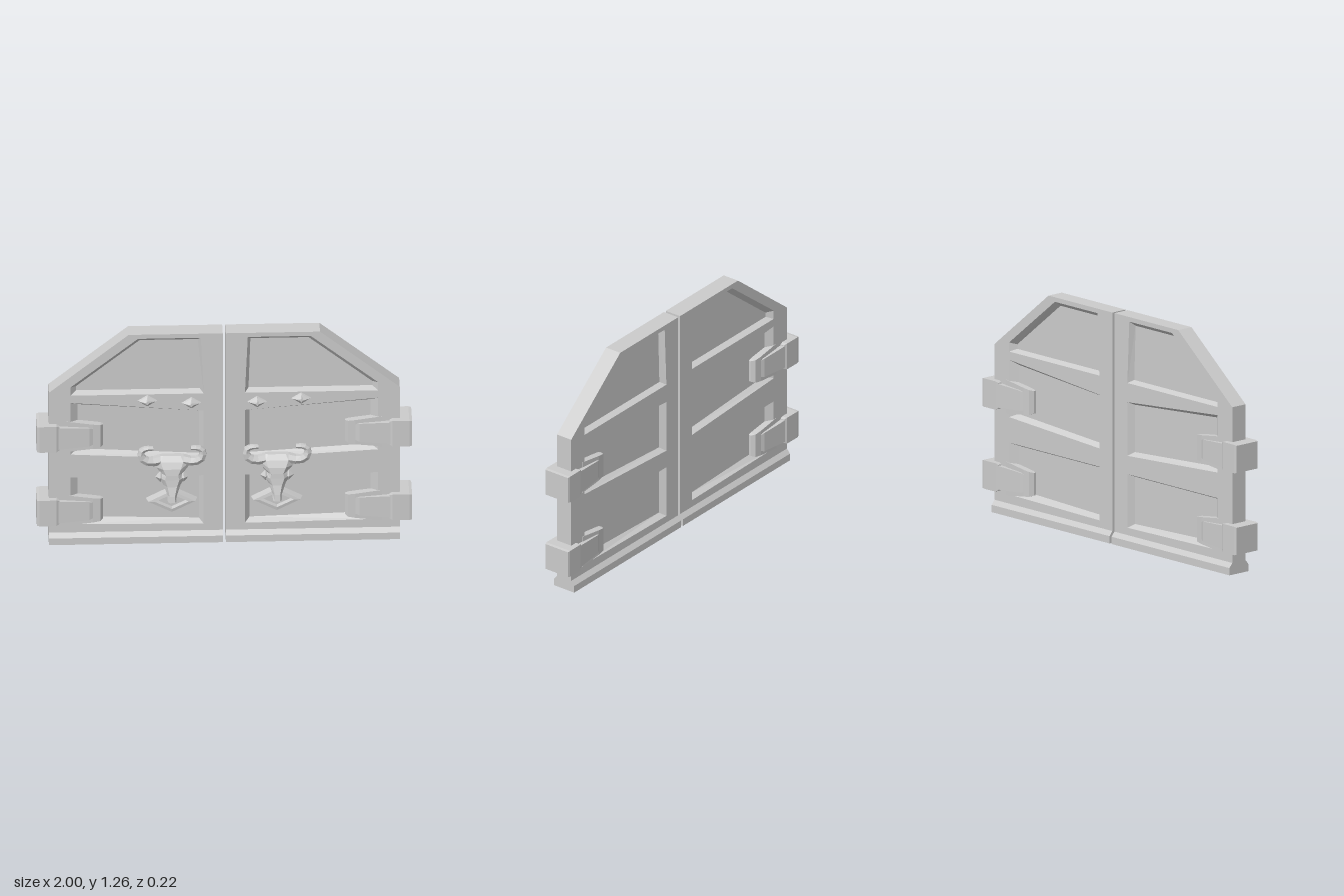
import * as THREE from 'three';

const V = (x, y, z) => new THREE.Vector3(x, y, z);
const MID = -0.035; // z of the door's middle plane
const HALF = 0.048; // half the door's thickness
const SKULL_X = 0.28;

// Skin between rings of equal length; rings run counter-clockwise about the travel direction
function loft(rings, capStart = true, capEnd = true) {
  const pos = [];
  const tri = (...pts) => pts.forEach((p) => pos.push(p.x, p.y, p.z));
  const n = rings[0].length;
  for (let i = 0; i < rings.length - 1; i++) {
    for (let j = 0; j < n; j++) {
      const k = (j + 1) % n;
      tri(rings[i][j], rings[i][k], rings[i + 1][j]);
      tri(rings[i][k], rings[i + 1][k], rings[i + 1][j]);
    }
  }
  const first = rings[0], last = rings[rings.length - 1];
  for (let j = 1; j < n - 1; j++) {
    if (capStart) tri(first[0], first[j + 1], first[j]);
    if (capEnd) tri(last[0], last[j], last[j + 1]);
  }
  const geo = new THREE.BufferGeometry();
  geo.setAttribute('position', new THREE.Float32BufferAttribute(pos, 3));
  geo.computeVertexNormals();
  return geo;
}

// Mirror a geometry on one axis and restore its winding
function mirror(source, sx, sz) {
  const geo = source.index ? source.toNonIndexed() : source.clone();
  const p = geo.attributes.position;
  for (let i = 0; i < p.count; i += 3) {
    const [a, b, c] = [0, 1, 2].map((k) => V().fromBufferAttribute(p, i + k));
    [a, c, b].forEach((v, k) => p.setXYZ(i + k, v.x * sx, v.y, v.z * sz));
  }
  geo.computeVertexNormals();
  return geo;
}

const ring = (pts, z) => pts.map(([x, y]) => V(x, y, z));
const shape = (pts) => new THREE.Shape(pts.map(([x, y]) => new THREE.Vector2(x, y)));

// Door outline and its three recesses: rim on the face, floor set deeper
const OUTLINE = [[0.008, 0.03], [0.935, 0.03], [0.935, 0.92], [0.51, 1.265], [0.008, 1.265]];
const RECESSES = [
  {
    rim: [[0.11, 0.9], [0.82, 0.9], [0.82, 0.95], [0.46, 1.24], [0.125, 1.24]],
    floor: [[0.13, 0.915], [0.79, 0.915], [0.79, 0.94], [0.45, 1.215], [0.14, 1.215]],
  },
  {
    rim: [[0.11, 0.5], [0.82, 0.54], [0.82, 0.855], [0.11, 0.795]],
    floor: [[0.135, 0.52], [0.78, 0.56], [0.78, 0.83], [0.135, 0.78]],
  },
  {
    rim: [[0.11, 0.105], [0.82, 0.115], [0.82, 0.4], [0.11, 0.4]],
    floor: [[0.135, 0.125], [0.78, 0.145], [0.78, 0.385], [0.135, 0.385]],
  },
];

function baseRail() {
  const profile = [[0.068, 0], [0.068, 0.04], [0.048, 0.065], [-0.048, 0.065], [-0.068, 0.04], [-0.068, 0]];
  const at = (x) => profile.map(([z, y]) => V(x, y, z + MID)).reverse();
  return loft([at(0.008), at(0.935)]);
}

// Rectangular sections along x: [x, half height, half depth]
function barAlongX(sections, y) {
  return loft(sections.map(([x, h, d]) => [[-1, -1], [1, -1], [1, 1], [-1, 1]]
    .map(([a, b]) => V(x, y + a * h, MID + b * d)).reverse().map((p) => p)).map((r) => r.reverse())
    .map((r) => [r[0], r[1], r[2], r[3]]));
}

function skullHead() {
  // y, half width, back z, front z
  const sections = [
    [0.53, 0.085, 0.0, 0.03], [0.505, 0.11, 0.0, 0.055], [0.47, 0.085, 0.01, 0.072],
    [0.435, 0.058, 0.01, 0.078], [0.41, 0.07, 0.015, 0.08], [0.37, 0.045, 0.03, 0.085],
    [0.32, 0.026, 0.06, 0.1], [0.285, 0.024, 0.085, 0.107],
  ];
  return loft(sections.map(([y, w, b, f]) => [
    [w, (b + f) / 2], [w * 0.55, f], [-w * 0.55, f], [-w, (b + f) / 2], [-w * 0.55, b], [w * 0.55, b],
  ].map(([x, z]) => V(SKULL_X + x, y, z))));
}

function horn() {
  const curve = new THREE.CatmullRomCurve3([
    V(0.06, 0.51, 0.03), V(0.12, 0.505, 0.04), V(0.16, 0.53, 0.045),
    V(0.163, 0.57, 0.045), V(0.14, 0.588, 0.048), V(0.1, 0.59, 0.05)]);
  const rings = [];
  for (let i = 0; i <= 8; i++) {
    const t = curve.getTangent(i / 8), p = curve.getPoint(i / 8);
    const r = 0.03 - 0.018 * (i / 8);
    rings.push([0, 1, 2, 3, 4, 5].map((k) => {
      const a = (k / 6) * Math.PI * 2, s = Math.sin(a) * r;
      return V(p.x + t.y * s, p.y - t.x * s, p.z + Math.cos(a) * r);
    }));
  }
  return loft(rings);
}

function diamondFrame() {
  const diamond = (w, h) => [[w, 0], [0, h], [-w, 0], [0, -h]].map(([x, y]) => [SKULL_X + x, 0.25 + y]);
  return loft([
    ring(diamond(0.138, 0.072), -0.02), ring(diamond(0.125, 0.064), 0.025),
    ring(diamond(0.09, 0.045), 0.028), ring(diamond(0.08, 0.04), 0.005)]);
}

function stud(x, y) {
  const at = (w, h, z) => ring([[w, 0], [0, h], [-w, 0], [0, -h]].map(([a, b]) => [x + a, y + b]), z);
  return loft([at(0.058, 0.037, 0.008), at(0.045, 0.03, 0.022), at(0.008, 0.012, 0.044)]);
}

export function createModel() {
  const material = new THREE.MeshStandardMaterial({ color: 0xcccccc, flatShading: true, side: THREE.DoubleSide });
  const parts = [];
  const add = (name, geo) => parts.push([name, geo]);

  // Door body: edge, pierced faces and recessed pans, same on both sides
  add('doorEdge', loft([ring(OUTLINE, MID - HALF), ring(OUTLINE, MID + HALF)], false, false));
  const face = shape(OUTLINE);
  RECESSES.forEach((r) => face.holes.push(shape(r.rim)));
  const frontFace = new THREE.ShapeGeometry(face).translate(0, 0, HALF);
  add('frontFrame', frontFace.clone().translate(0, 0, MID));
  add('backFrame', mirror(frontFace, 1, -1).translate(0, 0, MID));
  for (const { rim, floor } of RECESSES) {
    const pan = loft([ring(rim, HALF), ring(floor, 0.016)], false, true);
    add('frontPanel', pan.clone().translate(0, 0, MID));
    add('backPanel', mirror(pan, 1, -1).translate(0, 0, MID));
  }
  add('baseRail', baseRail());

  // Hinges: forked plate, tapering strap and square knuckle
  for (const y of [0.65, 0.2]) {
    add('hingePlate', barAlongX([[0.645, 0.062, 0.03], [0.66, 0.068, 0.05], [0.7, 0.074, 0.054], [0.84, 0.092, 0.05]], y));
    add('hingeStrap', barAlongX([[0.69, 0.045, 0.05], [0.72, 0.055, 0.062], [0.9, 0.066, 0.074]], y));
    add('hingeKnuckle', barAlongX([[0.88, 0.07, 0.07], [0.895, 0.078, 0.079], [0.985, 0.078, 0.08], [1, 0.075, 0.076]], y));
  }

  // Studs on the upper rail
  add('stud', stud(0.175, 0.845));
  add('stud', stud(0.41, 0.862));

  // Horned skull ornament over a diamond frame
  add('skullHead', skullHead());
  const rightHorn = horn();
  const cheek = new THREE.OctahedronGeometry(1).scale(0.028, 0.034, 0.026).translate(0.062, 0.415, 0.045);
  for (const [name, geo] of [['horn', rightHorn], ['cheekBone', cheek]]) {
    add(name, geo.clone().translate(SKULL_X, 0, 0));
    add(name, mirror(geo, -1, 1).translate(SKULL_X, 0, 0));
  }
  add('diamondFrame', diamondFrame());

  // Left leaf as built, right leaf mirrored
  const model = new THREE.Group();
  model.name = 'doubleDoor';
  for (const side of [1, -1]) {
    const leaf = new THREE.Group();
    leaf.name = side > 0 ? 'leftDoor' : 'rightDoor';
    for (const [name, geo] of parts) {
      const mesh = new THREE.Mesh(side > 0 ? geo : mirror(geo, -1, 1), material);
      mesh.name = name;
      leaf.add(mesh);
    }
    model.add(leaf);
  }
  return model;
}
